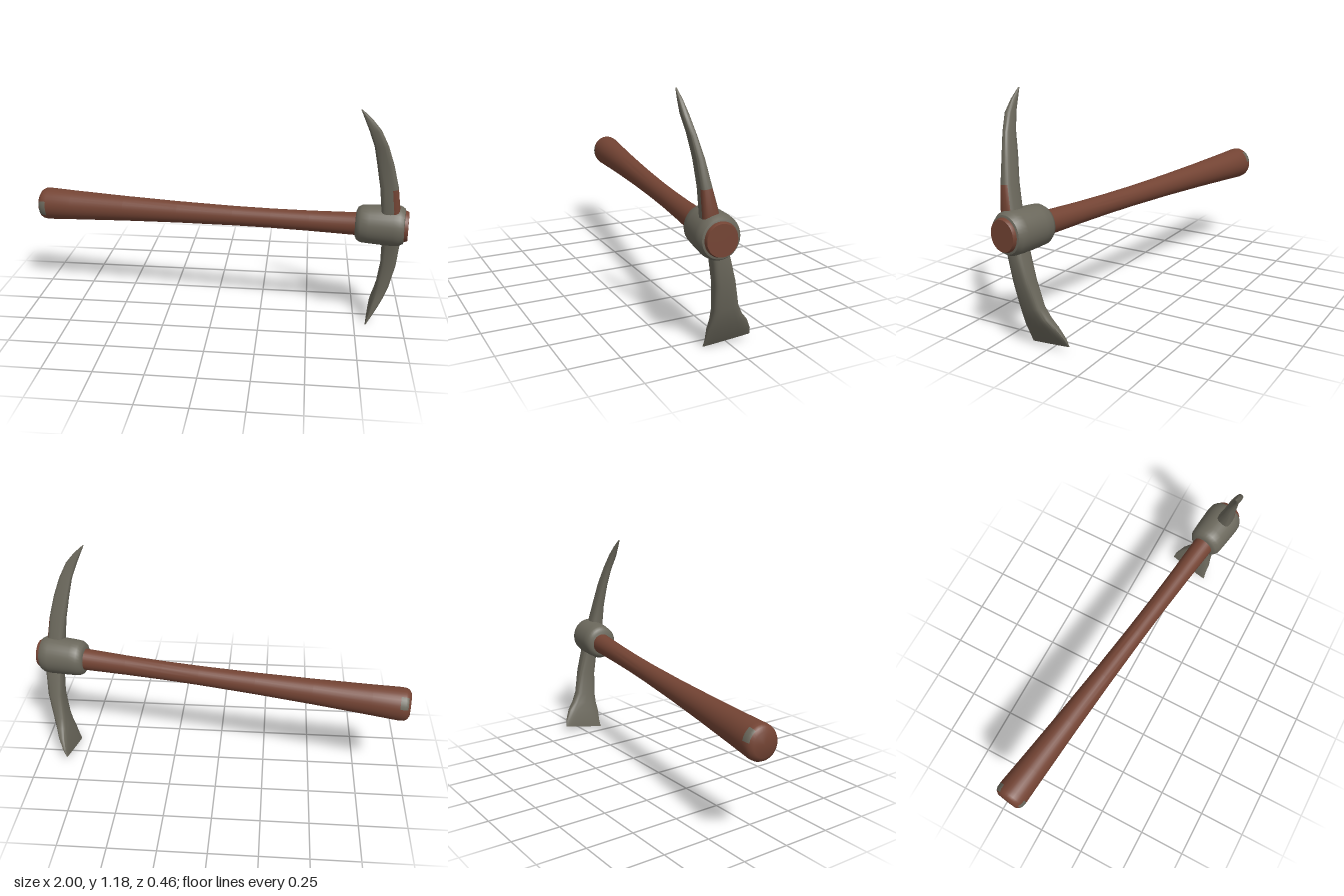
import * as THREE from 'three';
import { toCreasedNormals } from 'three/addons/utils/BufferGeometryUtils.js';

const wood = new THREE.MeshStandardMaterial({ color: 0x744434 });
wood.name = 'brown wood';
const steel = new THREE.MeshStandardMaterial({ color: 0x6b685c });
steel.name = 'grey steel';

// Shared directions: the handle runs along AXIS, the blades are square to it
const AXIS = new THREE.Vector3(0.99, 0, 0.142);
const UP = new THREE.Vector3(0, 1, 0);
const SIDE = new THREE.Vector3(-0.142, 0, 0.99);
const LEAN = new THREE.Vector3(-0.142, -0.15, 0.98);

// Closed loft through rings [x, y, z, halfU, halfV]; power < 1 squares the section.
// pick(ring, angle) returns 1 where a face takes the second material.
function loft(name, rings, U, V, { sides = 24, power = 1, crease = 0.7, mats, pick = () => 0 }) {
  const pos = [];
  const faces = [[], []];
  const bend = (t) => Math.sign(t) * Math.abs(t) ** power;
  const p = new THREE.Vector3();
  for (const [x, y, z, a, b] of rings) {
    for (let j = 0; j < sides; j++) {
      const t = (j / sides) * Math.PI * 2;
      p.set(x, y, z).addScaledVector(U, a * bend(Math.cos(t))).addScaledVector(V, b * bend(Math.sin(t)));
      pos.push(p.x, p.y, p.z);
    }
  }
  const last = rings.length - 1;
  const first = pos.length / 3;
  pos.push(...rings[0].slice(0, 3), ...rings[last].slice(0, 3));
  for (let j = 0; j < sides; j++) {
    const k = (j + 1) % sides;
    for (let i = 0; i < last; i++) {
      const a = i * sides + j, b = i * sides + k;
      faces[pick(i, ((j + 0.5) / sides) * 360)].push(a, b, b + sides, a, b + sides, a + sides);
    }
    faces[0].push(first, k, j, first + 1, last * sides + j, last * sides + k);
  }
  const geo = new THREE.BufferGeometry();
  geo.setAttribute('position', new THREE.Float32BufferAttribute(pos, 3));
  geo.setIndex([...faces[0], ...faces[1]]);
  geo.addGroup(0, faces[0].length, 0);
  if (faces[1].length) geo.addGroup(faces[0].length, faces[1].length, 1);
  const mesh = new THREE.Mesh(toCreasedNormals(geo, crease), mats);
  mesh.name = name;
  return mesh;
}

// Ring round the handle's centre line
const along = (x, y, r, squash = 0.94) => [x, y, -0.15 + 0.144 * (x + 1), r, r * squash];

export function createModel() {
  const group = new THREE.Group();
  group.name = 'pickaxe';

  // Handle: swollen butt, slim waist, wedged end; two worn grey marks on the butt rim
  const handle = [
    along(-0.991, 0.522, 0.06), along(-0.98, 0.522, 0.078), along(-0.965, 0.522, 0.086),
    along(-0.94, 0.522, 0.088), along(-0.8, 0.525, 0.081), along(-0.5, 0.532, 0.068),
    along(-0.2, 0.539, 0.058), along(0.1, 0.546, 0.052), along(0.3, 0.551, 0.051),
    along(0.5, 0.556, 0.053), along(0.75, 0.563, 0.059), along(0.9, 0.569, 0.074),
    along(0.975, 0.571, 0.08), along(0.99, 0.571, 0.074),
  ];
  group.add(loft('handle', handle, UP, SIDE, {
    sides: 32, mats: [wood, steel],
    pick: (i, deg) => ((i === 1 || i === 2) && ((deg > 72 && deg < 124) || (deg > 285 && deg < 330)) ? 1 : 0),
  }));

  // Collar: rounded steel eye round the handle
  const collar = [
    along(0.733, 0.565, 0.07), along(0.74, 0.566, 0.085), along(0.76, 0.567, 0.097),
    along(0.8, 0.568, 0.1), along(0.92, 0.57, 0.105), along(0.95, 0.571, 0.102),
    along(0.97, 0.571, 0.09), along(0.974, 0.571, 0.076),
  ];
  group.add(loft('collar', collar, UP, SIDE, { sides: 32, mats: [steel] }));

  // Pick: curved spike from tip to eye, with a brown patch on its outer face
  const spike = [
    [0.72, 1.18, 0.223, 0.003, 0.003], [0.755, 1.135, 0.222, 0.018, 0.01],
    [0.79, 1.08, 0.219, 0.029, 0.016], [0.825, 1.0, 0.203, 0.034, 0.017],
    [0.853, 0.9, 0.183, 0.041, 0.021], [0.88, 0.78, 0.167, 0.045, 0.027],
    [0.895, 0.67, 0.152, 0.046, 0.039], [0.895, 0.58, 0.14, 0.046, 0.042],
  ];
  group.add(loft('pickSpike', spike, AXIS, LEAN, {
    power: 0.65, mats: [steel, wood],
    pick: (i, deg) => (i >= 5 && (deg < 75 || deg > 315) ? 1 : 0),
  }));

  // Adze: curved blade flaring to a wide, thin cutting edge
  const adze = [
    [0.905, 0.56, 0.13, 0.045, 0.042], [0.912, 0.46, 0.105, 0.045, 0.043],
    [0.91, 0.35, 0.082, 0.04, 0.05], [0.89, 0.22, 0.06, 0.034, 0.06],
    [0.876, 0.165, 0.045, 0.03, 0.075], [0.862, 0.12, 0.03, 0.024, 0.096],
    [0.842, 0.062, 0.013, 0.015, 0.11], [0.827, 0.022, 0.01, 0.004, 0.116],
  ];
  group.add(loft('adzeBlade', adze, AXIS, LEAN, { power: 0.55, mats: [steel] }));

  return group;
}
